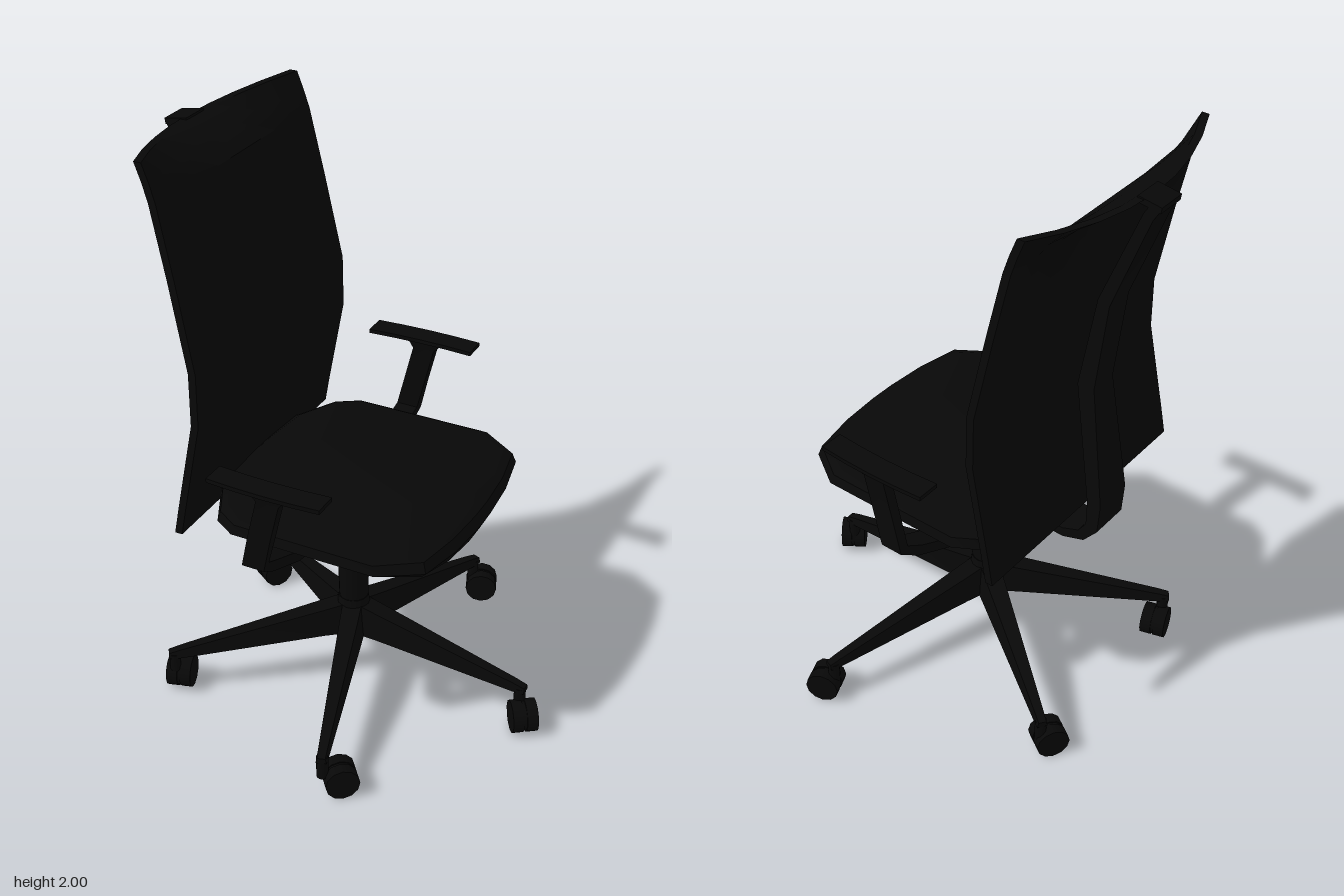
import * as THREE from 'three';
import { toCreasedNormals } from 'three/addons/utils/BufferGeometryUtils.js';

const black = new THREE.MeshStandardMaterial({ color: 0x080808 });
black.name = 'black';

const V = (x, y, z) => new THREE.Vector3(x, y, z);

function add(parent, name, geometry, x = 0, y = 0, z = 0) {
  const mesh = new THREE.Mesh(geometry, black);
  mesh.name = name;
  mesh.position.set(x, y, z);
  parent.add(mesh);
  return mesh;
}

// Solid through closed loops; each loop runs along one side and back along the other.
function loft(loops, crease = 0.6) {
  const n = loops[0].length;
  const pts = loops.flat();
  const index = [];
  const quad = (a, b, c, d) => index.push(a, b, c, a, c, d);
  for (let k = 0; k < loops.length - 1; k++) {
    for (let i = 0; i < n; i++) {
      const j = (i + 1) % n;
      quad(k * n + i, k * n + j, (k + 1) * n + j, (k + 1) * n + i);
    }
  }
  const last = (loops.length - 1) * n;
  for (let i = 0; i < n / 2 - 1; i++) {
    quad(n - 1 - i, n - 2 - i, i + 1, i);
    quad(last + i, last + i + 1, last + n - 2 - i, last + n - 1 - i);
  }
  // turn the faces outward
  let volume = 0;
  for (let i = 0; i < index.length; i += 3) {
    volume += pts[index[i]].dot(pts[index[i + 1]].clone().cross(pts[index[i + 2]]));
  }
  if (volume < 0) index.reverse();
  const g = new THREE.BufferGeometry().setFromPoints(pts);
  g.setIndex(index);
  return toCreasedNormals(g, crease);
}

// Flat bar along a path; size(i) gives [width, thickness] at each point.
function bar(path, widthDir, size) {
  return loft(path.map((p, i) => {
    const t = path[Math.min(i + 1, path.length - 1)].clone().sub(path[Math.max(i - 1, 0)]);
    const [w, h] = size(i);
    const a = widthDir.clone().multiplyScalar(w / 2);
    const b = t.cross(widthDir).normalize().multiplyScalar(h / 2);
    return [[1, 1], [-1, 1], [-1, -1], [1, -1]].map(([s, r]) =>
      p.clone().addScaledVector(a, s).addScaledVector(b, r));
  }));
}

// Cushion: rounded outline in layers, underside bowed down along the middle
function seatGeometry() {
  const half = [[0.475, 0.05], [0.465, 0.2], [0.435, 0.36], [0.3, 0.45],
    [-0.2, 0.45], [-0.28, 0.4], [-0.36, 0.25], [-0.38, 0.05]];
  const outline = [...half, ...half.map(([x, z]) => [x, -z]).reverse()];
  // [height, length scale, width scale, rise at the sides]
  const layers = [[0.715, 0.88, 0.25, 0.06], [0.716, 0.9, 0.6, 0.06], [0.72, 0.93, 0.9, 0.06],
    [0.785, 1, 1, 0.015], [0.83, 0.975, 0.975, 0], [0.853, 0.89, 0.89, 0]];
  return loft(layers.map(([y, sx, sz, rise]) => outline.map(([x, z]) =>
    V(x * sx, y + rise * (z * sz / 0.45) ** 2, z * sz))));
}

// Backrest: flat across, its top rim rolled back in the middle
function backrestGeometry() {
  // [height, side edge x, roll depth, half width]
  const rows = [[0.77, -0.362, 0, 0.483], [0.86, -0.345, 0, 0.481], [1.18, -0.28, 0, 0.475],
    [1.36, -0.28, 0, 0.472], [1.65, -0.338, 0, 0.462], [1.88, -0.388, 0, 0.455],
    [1.94, -0.407, 0.045, 0.453], [2.0, -0.43, 0.105, 0.452]];
  const u = [-1, -0.75, -0.5, -0.25, 0, 0.25, 0.5, 0.75, 1];
  return loft(rows.map(([y, edge, depth, hw]) => {
    const side = (offset) => u.map((s) => V(edge - depth * (1 - s * s) - offset,
      y - 0.22 * depth * (1 - s * s), s * hw));
    return [...side(0), ...side(0.026).reverse()];
  }));
}

function addArm(parent, side) {
  const arm = new THREE.Group();
  arm.name = side > 0 ? 'rightArm' : 'leftArm';
  parent.add(arm);
  // upright bending in under the seat
  const path = [V(0.015, 1.075, 0.545), V(0.005, 1.04, 0.545), V(-0.03, 0.9, 0.545), V(-0.055, 0.795, 0.545),
    V(-0.065, 0.755, 0.48), V(-0.075, 0.675, 0.3), V(-0.08, 0.64, 0.05)];
  path.forEach((p) => { p.z *= side; });
  add(arm, 'armSupport', bar(path, V(1, 0, 0), (i) => (i === 0 ? [0.12, 0.065] : [0.078, 0.036])));
  // pad bowed slightly outward
  const pad = [-0.193, -0.1, 0, 0.1, 0.193].map((x) =>
    V(x, 1.08, side * (0.55 - 0.22 * x * x)));
  add(arm, 'armPad', bar(pad, V(0, 0, 1), () => [0.08, 0.014]));
}

function addBase(parent) {
  const base = new THREE.Group();
  base.name = 'base';
  parent.add(base);
  add(base, 'hub', new THREE.CylinderGeometry(0.052, 0.07, 0.12, 16), 0, 0.28, 0);
  add(base, 'hubBottom', new THREE.CylinderGeometry(0.07, 0.04, 0.025, 16), 0, 0.21, 0);
  // caster centres and swivel angles
  const casters = [[0.654, 0.023, 2.18], [0.239, 0.562, 0.7], [-0.506, 0.338, 1.86],
    [-0.521, -0.336, 1.0], [0.228, -0.608, 0.37]];
  // leg sections: distance, top, bottom, half width
  const sections = [[0, 0.325, 0.2, 0.045], [0.11, 0.297, 0.195, 0.042],
    [0.61, 0.175, 0.143, 0.02], [0.65, 0.163, 0.143, 0.018]];
  const legGeometry = loft(sections.map(([x, top, bottom, w]) =>
    [V(x, top, w * 0.75), V(x, bottom, w), V(x, bottom, -w), V(x, top, -w * 0.75)]));
  casters.forEach(([x, z, swivel], i) => {
    const a = (i * Math.PI * 2) / 5;
    add(base, 'leg', legGeometry).rotation.y = -a;
    add(base, 'casterStem', new THREE.CylinderGeometry(0.02, 0.02, 0.08, 10),
      0.63 * Math.cos(a), 0.115, 0.63 * Math.sin(a));
    const caster = new THREE.Group();
    caster.name = 'caster';
    caster.position.set(x, 0.058, z);
    caster.rotation.y = swivel;
    base.add(caster);
    for (const s of [-1, 1]) {
      const wheel = add(caster, 'wheel', new THREE.CylinderGeometry(0.057, 0.057, 0.038, 12), 0, 0, s * 0.024);
      wheel.rotation.x = Math.PI / 2;
    }
    add(caster, 'axle', new THREE.CylinderGeometry(0.053, 0.053, 0.03, 12)).rotation.x = Math.PI / 2;
  });
}

export function createModel() {
  const model = new THREE.Group();
  model.name = 'officeChair';
  const chair = new THREE.Group();
  chair.name = 'chair';
  chair.position.set(-0.045, 0, 0.05);
  chair.rotation.y = 0.15;
  model.add(chair);

  addBase(chair);

  // gas lift
  add(chair, 'liftSleeve', new THREE.CylinderGeometry(0.054, 0.05, 0.16, 16), 0, 0.41, 0);
  add(chair, 'liftRod', new THREE.CylinderGeometry(0.029, 0.029, 0.14, 16), 0, 0.55, 0);

  // mechanism under the seat
  add(chair, 'mechanism', new THREE.BoxGeometry(0.28, 0.06, 0.24), 0, 0.635, 0);
  add(chair, 'seatPan', new THREE.BoxGeometry(0.42, 0.085, 0.53), -0.005, 0.692, 0);
  add(chair, 'knob', new THREE.CylinderGeometry(0.045, 0.045, 0.07, 12), 0.26, 0.635, 0).rotation.x = Math.PI / 2;
  add(chair, 'knobMount', new THREE.BoxGeometry(0.05, 0.08, 0.05), 0.25, 0.685, 0);

  add(chair, 'seat', seatGeometry());
  add(chair, 'backrest', backrestGeometry());

  // spine curving up behind the backrest
  const spine = [V(-0.1, 0.688, 0), V(-0.36, 0.685, 0), V(-0.43, 0.71, 0), V(-0.468, 0.76, 0),
    V(-0.472, 0.86, 0), V(-0.405, 1.28, 0), V(-0.45, 1.6, 0), V(-0.575, 1.93, 0), V(-0.596, 1.965, 0)];
  const depth = [0.034, 0.034, 0.038, 0.045, 0.05, 0.06, 0.042, 0.034, 0.034];
  add(chair, 'spine', bar(spine, V(0, 0, 1), (i) => [i < 5 ? 0.14 : 0.1, depth[i]]));
  add(chair, 'spineTop', new THREE.BoxGeometry(0.08, 0.02, 0.1), -0.575, 1.968, 0).rotation.z = 0.15;

  addArm(chair, 1);
  addArm(chair, -1);
  return model;
}
